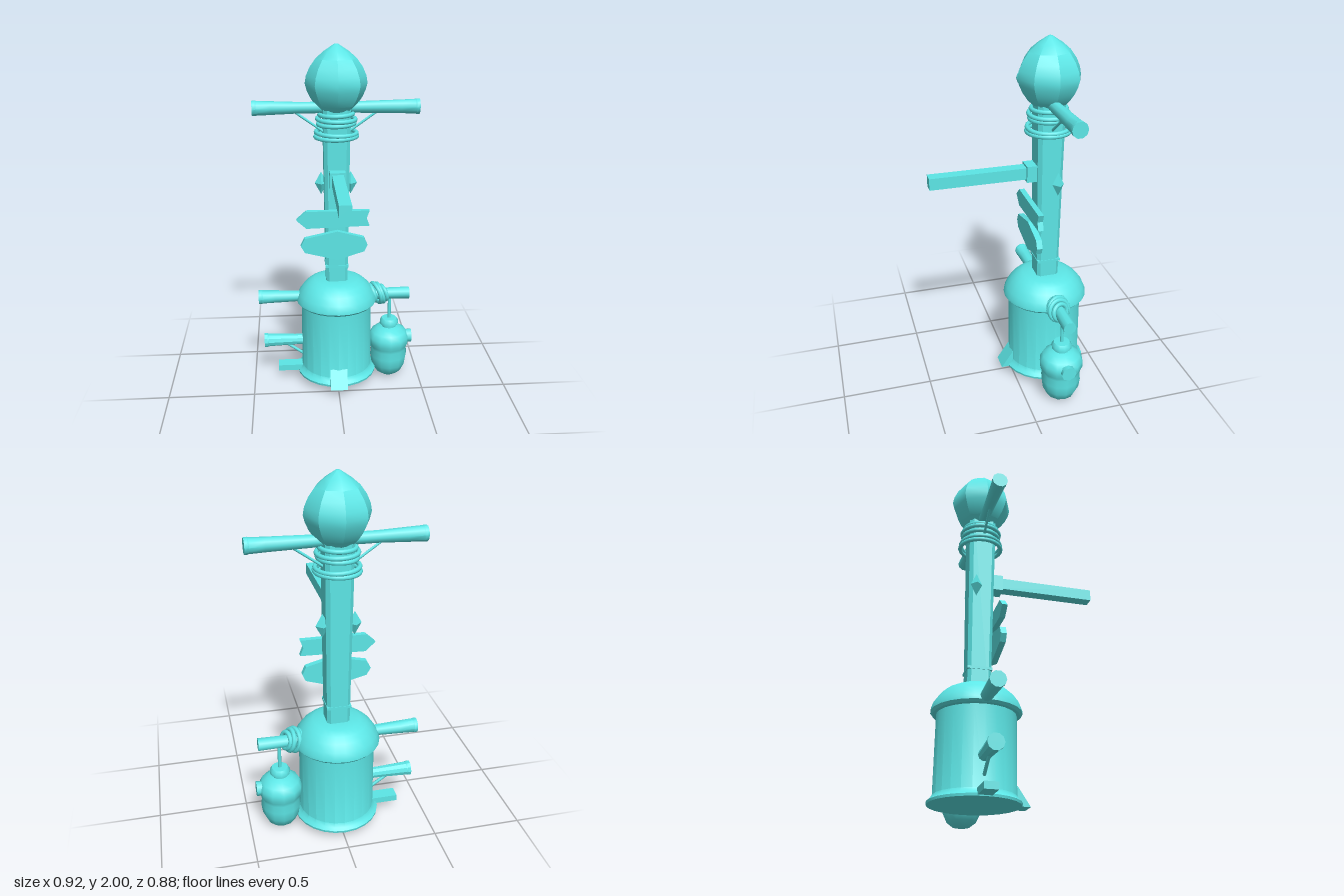
import * as THREE from 'three';
import { toCreasedNormals } from 'three/addons/utils/BufferGeometryUtils.js';

const mat = new THREE.MeshStandardMaterial({ color: 0x5ce6e6 });
const V = (x, y, z = 0) => new THREE.Vector3(x, y, z);

export function createModel() {
  const root = new THREE.Group();
  const body = new THREE.Group(); // everything is laid out around the post axis
  body.name = 'signpost';
  body.position.z = -0.2;
  root.add(body);

  const add = (name, geo, x = 0, y = 0, z = 0) => {
    const m = new THREE.Mesh(geo, mat);
    m.name = name;
    m.position.set(x, y, z);
    body.add(m);
    return m;
  };
  const lathe = (pts, sides, crease = 0.6) =>
    toCreasedNormals(new THREE.LatheGeometry(pts.map(p => new THREE.Vector2(...p)), sides), crease);
  const outline = pts => new THREE.Shape(pts.map(p => new THREE.Vector2(...p)));
  const extrude = (pts, depth) =>
    new THREE.ExtrudeGeometry(outline(pts), { depth, bevelEnabled: false });
  const rod = (name, a, b, r) =>
    add(name, new THREE.TubeGeometry(new THREE.LineCurve3(a, b), 1, r, 8));

  // Barrel base with foot flange and domed lid
  add('barrel', lathe([[0, 0.055], [0.235, 0.055], [0.237, 0.068], [0.222, 0.08], [0.209, 0.1],
    [0.207, 0.51]], 24));
  add('barrelLid', lathe([[0.2, 0.51], [0.225, 0.512], [0.237, 0.525], [0.235, 0.54], [0.222, 0.572],
    [0.195, 0.61], [0.165, 0.637], [0.13, 0.655], [0.07, 0.66], [0, 0.66]], 24));

  // Chamfered square post, widening towards the top
  const h = 0.062, c = 0.045;
  const postGeo = extrude([[h, -c], [h, c], [c, h], [-c, h], [-h, c], [-h, -c], [-c, -h], [c, -h]], 1.02);
  postGeo.rotateX(-Math.PI / 2);
  const p = postGeo.attributes.position;
  for (let i = 0; i < p.count; i++) {
    const k = 1 + 0.2 * p.getY(i);
    p.setXYZ(i, p.getX(i) * k, p.getY(i) + 0.64, p.getZ(i) * k);
  }
  postGeo.computeVertexNormals();
  add('post', postGeo);
  add('postBand', new THREE.BoxGeometry(0.133, 0.014, 0.133), 0, 0.755);

  // Rope rings round the neck
  [[1.508, 0.115, 0.02], [1.528, 0.112, -0.03], [1.578, 0.1, 0.03], [1.602, 0.105, -0.02],
    [1.63, 0.092, 0.03]].forEach(([y, r, tilt]) => {
    const ring = add('neckRope', new THREE.TorusGeometry(r, 0.012, 8, 24), 0, y);
    ring.rotation.set(Math.PI / 2, tilt, 0);
  });

  // Eight-sided bud on top
  add('finial', lathe([[0, 1.648], [0.085, 1.65], [0.115, 1.68], [0.142, 1.72], [0.16, 1.76], [0.169, 1.795],
    [0.162, 1.835], [0.142, 1.88], [0.11, 1.925], [0.066, 1.963], [0.01, 2], [0, 2]], 8));

  // Cross bars with flared, banded ends
  const bar = (name, y, x0, x1, flareEnd = true) => {
    const end = flareEnd
      ? [[0.037, x1 - 0.1], [0.04, x1 - 0.022], [0.042, x1 - 0.018], [0.042, x1], [0, x1]]
      : [[0.036, x1], [0, x1]];
    const g = lathe([[0, x0], [0.042, x0], [0.042, x0 + 0.018], [0.04, x0 + 0.022], [0.037, x0 + 0.1],
      [0.031, x0 + 0.25], [0.031, 0.1], ...end], 10, 0.7);
    add(name, g.rotateZ(-Math.PI / 2), 0, y);
  };
  bar('topBar', 1.665, -0.455, 0.455);
  bar('middleBar', 0.545, -0.46, 0.435, false);
  add('lowerBar', lathe([[0, -0.435], [0.042, -0.435], [0.042, -0.417], [0.039, -0.41], [0.032, -0.25],
    [0.032, -0.1]], 10).rotateZ(-Math.PI / 2), 0, 0.255);
  for (const s of [-1, 1]) rod('topBrace', V(s * 0.23, 1.645), V(s * 0.06, 1.525), 0.007);
  rod('lowerBrace', V(-0.31, 0.235), V(-0.19, 0.15), 0.009);

  // Direction boards
  add('arrowBoard', extrude([[-0.23, 1.055], [-0.175, 1.005], [0.18, 1.015], [0.163, 1.06], [0.18, 1.105],
    [-0.175, 1.105]], 0.03), 0, 0, 0.073);
  add('nameBoard', extrude([[-0.208, 0.9], [-0.185, 0.86], [0, 0.813], [0.153, 0.862], [0.17, 0.9],
    [0.15, 0.945], [0, 0.985], [-0.185, 0.945]], 0.032), 0, 0, 0.073);

  // Forward arm in its socket
  add('armSocket', new THREE.BoxGeometry(0.087, 0.09, 0.09), 0, 1.285, 0.08);
  add('arm', new THREE.BoxGeometry(0.064, 0.064, 0.565), 0, 1.287, 0.3625);

  // Side crystals
  for (const s of [-1, 1]) {
    add('crystal', new THREE.OctahedronGeometry(1), s * 0.084, 1.23, -0.035).scale.set(0.036, 0.066, 0.032);
  }

  // Feet of the barrel
  add('frontFoot', extrude([[0.17, 0.055], [0.272, 0.055], [0.205, 0.155], [0.17, 0.155]], 0.1)
    .rotateY(-Math.PI / 2), 0.05);
  add('sideFoot', new THREE.BoxGeometry(0.17, 0.036, 0.07), -0.27, 0.078);

  // Rope coil on the middle bar
  [[0.215, 0.05], [0.238, 0.062], [0.26, 0.058], [0.28, 0.045]].forEach(([x, r], i) => {
    const ring = add('barRope', new THREE.TorusGeometry(r, 0.013, 8, 20), x, 0.55);
    ring.rotation.set(0, Math.PI / 2 + (i % 2 ? 0.35 : 0.2), 0.25, 'ZYX');
  });

  // Hanging jar with spout
  rod('jarCord', V(0.32, 0.55), V(0.32, 0.37), 0.01);
  add('jar', lathe([[0, 0.005], [0.045, 0.008], [0.08, 0.035], [0.104, 0.085], [0.112, 0.14], [0.108, 0.185],
    [0.112, 0.205], [0.122, 0.23], [0.122, 0.265], [0.105, 0.298], [0.07, 0.32], [0.042, 0.328], [0.042, 0.34],
    [0.056, 0.346], [0.056, 0.365], [0.045, 0.382], [0, 0.384]], 12, 0.8), 0.32);
  add('jarSpout', new THREE.CylinderGeometry(0.042, 0.036, 0.08, 8).rotateZ(-Math.PI / 2), 0.416, 0.255);

  return root;
}
